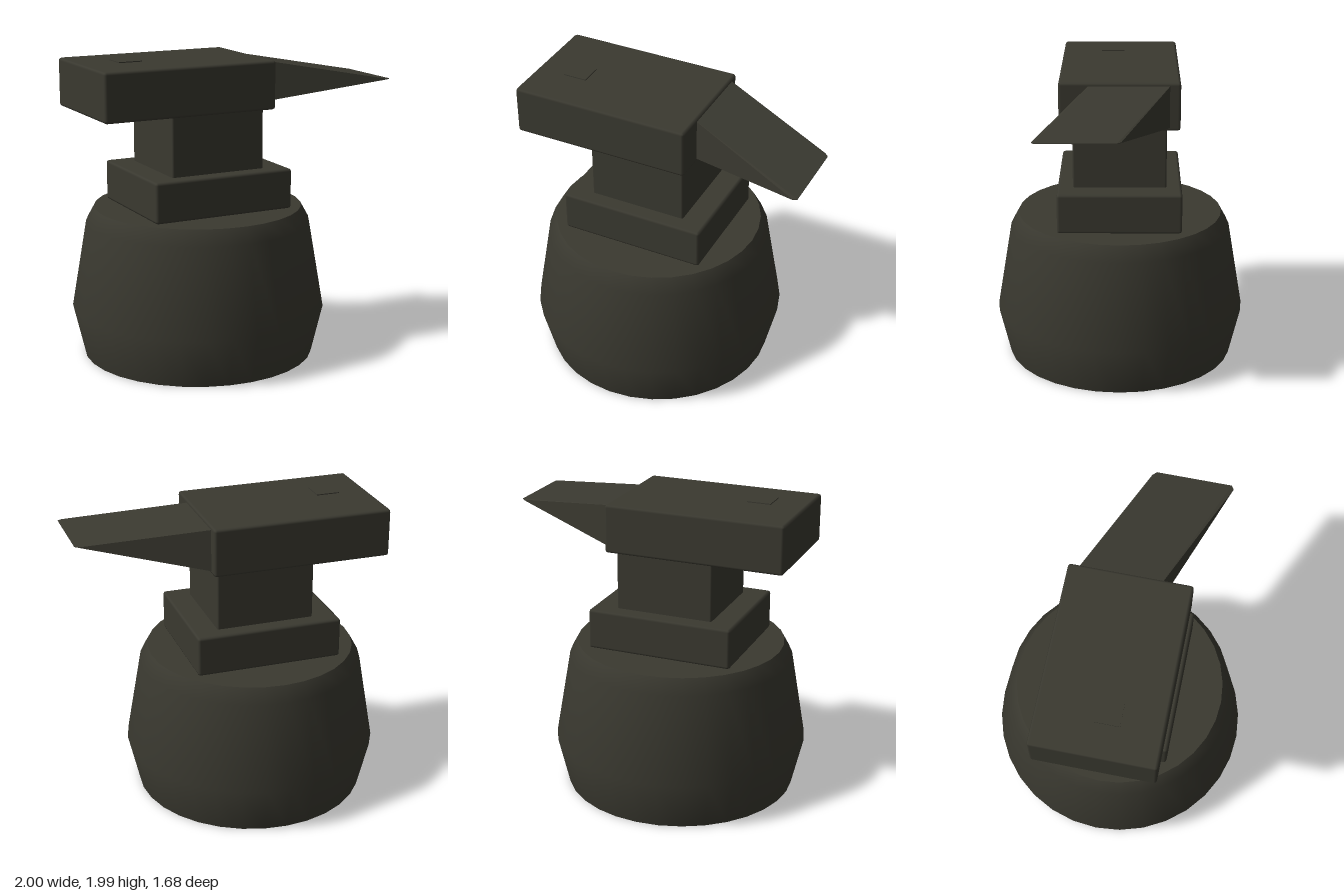
import * as THREE from 'three';
import { RoundedBoxGeometry } from 'three/addons/geometries/RoundedBoxGeometry.js';
import { ConvexGeometry } from 'three/addons/geometries/ConvexGeometry.js';

export function createModel() {
  const model = new THREE.Group();
  model.name = 'anvilOnStump';
  const darkIron = new THREE.MeshStandardMaterial({ color: 0x3a3930 });
  darkIron.name = 'darkIron';

  const add = (name, geometry) => {
    const mesh = new THREE.Mesh(geometry, darkIron);
    mesh.name = name;
    model.add(mesh);
    return mesh;
  };
  // Box given by its limits, with a narrow chamfer on every edge
  const chamferBox = (name, [x0, x1], [y0, y1], [z0, z1], chamfer) => {
    const g = new RoundedBoxGeometry(x1 - x0, y1 - y0, z1 - z0, 1, chamfer);
    g.translate((x0 + x1) / 2, (y0 + y1) / 2, (z0 + z1) / 2);
    add(name, g);
  };

  // Stump: bulging side with flat end caps
  const centreX = -0.16, sides = 32;
  const profile = [[0.765, 0], [0.84, 0.32], [0.74, 0.9], [0.685, 1]];
  add('stumpSide', new THREE.LatheGeometry(
    profile.map(([r, y]) => new THREE.Vector2(r, y)), sides)).position.x = centreX;
  const top = add('stumpTop', new THREE.CircleGeometry(0.685, sides));
  top.rotation.x = -Math.PI / 2;
  top.position.set(centreX, 1, 0);
  const bottom = add('stumpBottom', new THREE.CircleGeometry(0.765, sides));
  bottom.rotation.x = Math.PI / 2;
  bottom.position.set(centreX, 0, 0);

  // Anvil body
  chamferBox('foot', [-0.645, 0.325], [1.0, 1.265], [-0.405, 0.405], 0.018);
  chamferBox('waist', [-0.485, 0.165], [1.24, 1.69], [-0.305, 0.305], 0.012);
  chamferBox('block', [-0.97, 0.21], [1.66, 1.975], [-0.39, 0.39], 0.018);

  // Horn: a wedge swept forward, narrowing to a level edge
  const horn = [];
  for (const z of [-0.36, 0.16]) {
    for (const y of [1.663, 1.972]) horn.push(new THREE.Vector3(0.11, y, z));
  }
  for (const [x, z] of [[0.975, -0.015], [1, 0.01], [1, 0.495], [0.975, 0.51]]) {
    for (const y of [1.818, 1.822]) horn.push(new THREE.Vector3(x, y, z));
  }
  add('horn', new ConvexGeometry(horn));

  // Square tool-hole plate over the block
  const plate = add('toolHolePlate', new THREE.BoxGeometry(0.155, 0.006, 0.155));
  plate.position.set(-0.685, 1.991, 0.05);

  return model;
}
